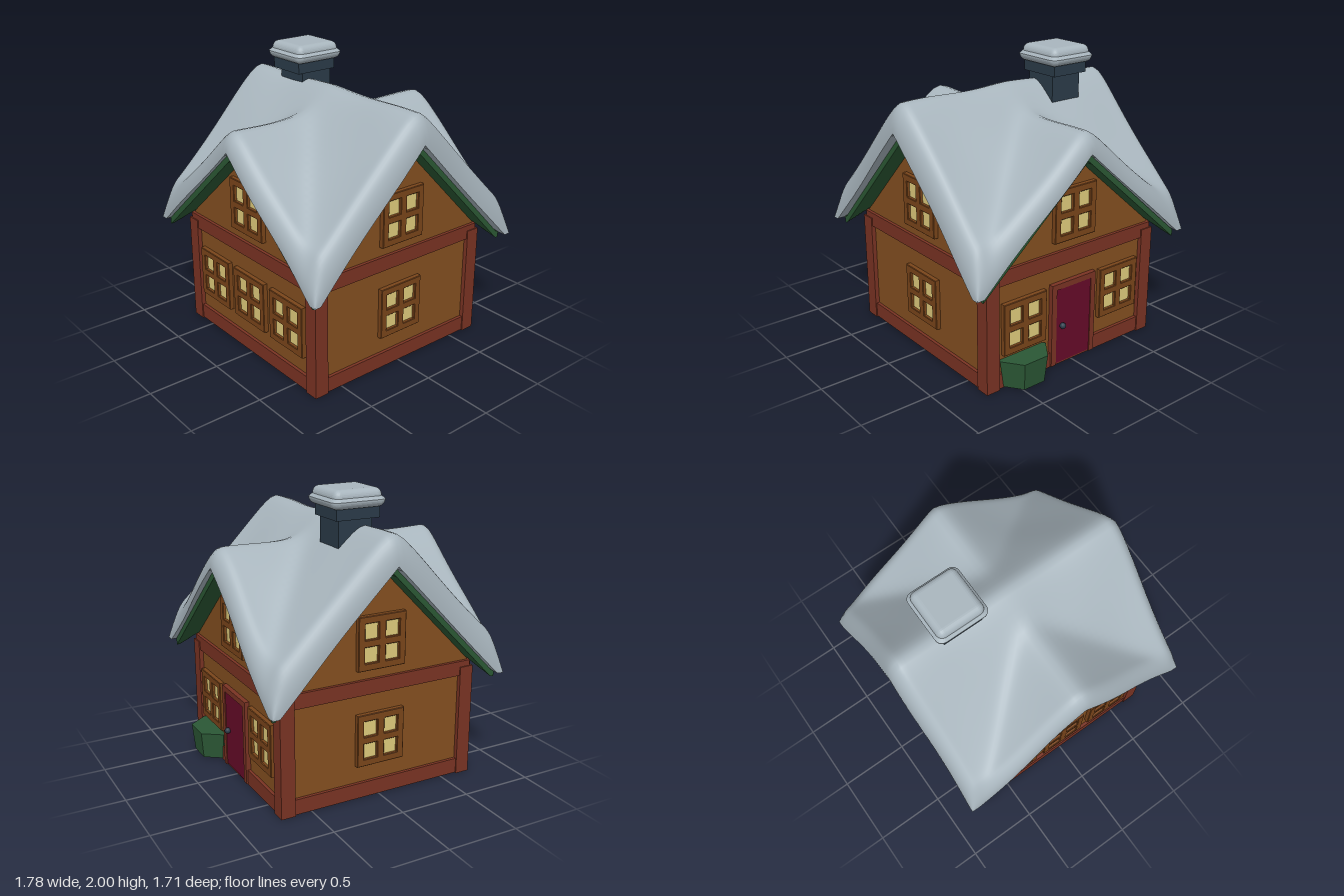
import * as THREE from 'three';
import { RoundedBoxGeometry } from 'three/addons/geometries/RoundedBoxGeometry.js';

const mat = (name, color, side = THREE.FrontSide) => {
  const m = new THREE.MeshStandardMaterial({ color, side });
  m.name = name;
  return m;
};

export function createModel() {
  const snow = mat('snow', 0xa9b6be, THREE.DoubleSide);
  const green = mat('green roof boards', 0x2c5a35, THREE.DoubleSide);
  const wall = mat('brown wall', 0x844f20);
  const frameMat = mat('window wood', 0x7a451a);
  const trim = mat('red timber', 0x7a3323);
  const glow = mat('window glow', 0xe0cc7c);
  const doorMat = mat('crimson door', 0x660a28);
  const slate = mat('slate', 0x2b3b49);
  const leaf = mat('leaf green', 0x2b5735);

  const model = new THREE.Group();
  model.name = 'snowyCottage';

  function add(parent, name, geometry, material, x = 0, y = 0, z = 0) {
    const mesh = new THREE.Mesh(geometry, material);
    mesh.name = name;
    mesh.position.set(x, y, z);
    parent.add(mesh);
    return mesh;
  }
  // box given by its minimum and maximum corners
  function box(parent, name, material, [x0, y0, z0], [x1, y1, z1]) {
    return add(parent, name, new THREE.BoxGeometry(x1 - x0, y1 - y0, z1 - z0), material,
      (x0 + x1) / 2, (y0 + y1) / 2, (z0 + z1) / 2);
  }
  const polygon = (pts) => new THREE.Shape(pts.map(([x, y]) => new THREE.Vector2(x, y)));

  // Walls: two crossing gabled blocks
  const W = 0.69;
  function gabledBlock(name, peak, eave, angle) {
    const shape = polygon([[-W, 0.04], [W, 0.04], [W, eave], [0, peak], [-W, eave]]);
    const geo = new THREE.ExtrudeGeometry(shape, { depth: 2 * W, bevelEnabled: false });
    geo.translate(0, 0, -W);
    add(model, name, geo, wall).rotation.y = angle;
  }
  gabledBlock('frontBackWalls', 1.45, 0.84, 0);
  gabledBlock('sideWalls', 1.55, 0.84, Math.PI / 2);
  box(model, 'floor', trim, [-0.7, 0.005, -0.7], [0.7, 0.06, 0.7]);

  // Corner posts
  for (const sx of [-1, 1]) for (const sz of [-1, 1]) {
    box(model, 'cornerPost', trim, [sx * 0.67 - 0.05, 0, sz * 0.67 - 0.05], [sx * 0.67 + 0.05, 0.78, sz * 0.67 + 0.05]);
  }

  // Four-pane window: pierced frame over a glowing plate
  const frameShape = polygon([[-0.17, -0.175], [0.17, -0.175], [0.17, 0.175], [-0.17, 0.175]]);
  for (const sx of [-1, 1]) for (const sy of [-1, 1]) {
    const a = 0.022 * sx, b = 0.13 * sx, c = 0.02 * sy, d = 0.135 * sy;
    frameShape.holes.push(new THREE.Path([[a, c], [b, c], [b, d], [a, d]].map((p) => new THREE.Vector2(...p))));
  }
  const frameGeo = new THREE.ExtrudeGeometry(frameShape, {
    depth: 0.03, bevelEnabled: true, bevelSize: 0.004, bevelThickness: 0.004, bevelSegments: 1,
  });
  const paneGeo = new THREE.BoxGeometry(0.28, 0.29, 0.008);
  function windowAt(parent, x, y) {
    const win = new THREE.Group();
    win.name = 'window';
    win.position.set(x, y, W);
    add(win, 'windowFrame', frameGeo, frameMat);
    add(win, 'windowPanes', paneGeo, glow, 0, 0, 0.008);
    parent.add(win);
  }

  // Beams and windows of each side, facing +z before rotation
  const sides = [
    ['frontSide', 0, [-0.41, 0, 0.41]],
    ['leftSide', Math.PI / 2, [0]],
    ['backSide', Math.PI, [-0.41, 0.41]],
    ['rightSide', -Math.PI / 2, [0]],
  ];
  const groups = {};
  for (const [name, angle, xs] of sides) {
    const g = groups[name] = new THREE.Group();
    g.name = name;
    g.rotation.y = angle;
    box(g, 'baseBeam', trim, [-0.63, 0.005, 0.62], [0.63, 0.11, 0.712]);
    box(g, 'upperBeam', trim, [-0.7, 0.72, 0.62], [0.7, 0.82, 0.712]);
    for (const x of xs) windowAt(g, x, 0.41);
    windowAt(g, 0, 1.065);
    model.add(g);
  }

  // Back door with frame and knob
  const back = groups.backSide;
  box(back, 'door', doorMat, [-0.15, 0.02, 0.68], [0.15, 0.56, 0.718]);
  for (const s of [-1, 1]) box(back, 'doorPost', trim, [s * 0.17 - 0.02, 0.01, 0.68], [s * 0.17 + 0.02, 0.56, 0.724]);
  box(back, 'doorLintel', trim, [-0.19, 0.56, 0.68], [0.19, 0.6, 0.724]);
  add(back, 'doorKnob', new THREE.SphereGeometry(0.022, 10, 8), slate, -0.1, 0.29, 0.73);

  // Bush against the back wall
  const bushGeo = new THREE.CylinderGeometry(0.19, 0.165, 0.19, 6).toNonIndexed();
  bushGeo.rotateY(Math.PI / 6);
  bushGeo.scale(1, 1, 0.8);
  bushGeo.computeVertexNormals();
  add(model, 'bush', bushGeo, leaf, 0.42, 0.105, -0.71);

  // Roof surfaces: two crossing ridges as a height over the plan
  const under = (x, z) => Math.max(1.58 - 1.02 * Math.abs(z), 1.48 - 0.87 * Math.abs(x), 0.76);
  const round = (v) => Math.sqrt(v * v + 0.0049);
  function top(x, z) {
    const a = 1.84 - 1.05 * round(z), b = 1.67 - 0.9 * round(x);
    const soft = (a + b + Math.sqrt((a - b) ** 2 + 0.006)) / 2 - 0.003;
    return soft + 0.006 * Math.sin(9 * x + 2) * Math.sin(8 * z + 1);
  }
  // 1 inside, falling to 0 at the edge along a quarter circle
  const fall = (v, edge) => {
    const t = Math.min(1, (edge - Math.abs(v)) / 0.1);
    return Math.sqrt(Math.max(0, 1 - (1 - t) ** 2));
  };
  // Sheet over the plan, with rows packed towards the edges
  function sheet(ex, ez, height, flip, wobble) {
    const n = 64, pos = [], idx = [];
    for (let j = 0; j <= n; j++) for (let i = 0; i <= n; i++) {
      const x = ex * Math.sin((i / n - 0.5) * Math.PI), z = ez * Math.sin((j / n - 0.5) * Math.PI);
      pos.push(x * (1 + wobble * Math.sin(7 * z + 1)), height(x, z), z * (1 + wobble * Math.sin(8 * x)));
      if (i < n && j < n) {
        const a = j * (n + 1) + i, b = a + 1, c = a + n + 1, d = c + 1;
        if (flip) idx.push(a, b, c, b, d, c);
        else idx.push(a, c, b, b, c, d);
      }
    }
    const geo = new THREE.BufferGeometry();
    geo.setAttribute('position', new THREE.Float32BufferAttribute(pos, 3));
    geo.setIndex(idx);
    geo.computeVertexNormals();
    return geo;
  }
  const EX = 0.882, EZ = 0.85;
  const snowTop = (x, z) => {
    const u = under(x, z);
    return u + Math.max(0.05, top(x, z) - u) * fall(x, EX) * fall(z, EZ);
  };
  add(model, 'roofSnow', sheet(EX, EZ, snowTop, false, 0.008), snow);
  add(model, 'roofSnowUnderside', sheet(EX, EZ, under, true, 0.008), snow);

  // Green boards below the snow, closed along their edges
  const G = 0.82;
  const boards = (x, z) => {
    const edge = Math.max(Math.abs(x), Math.abs(z)) > G - 0.0001;
    return under(x, z) - (edge ? 0.002 : 0.05);
  };
  add(model, 'roofBoards', sheet(G, G, boards, true, 0), green);

  // Chimney with collar and snow cap
  box(model, 'chimneyShaft', slate, [-0.49, 1.5, -0.19], [-0.25, 1.84, 0.05]);
  box(model, 'chimneyCollar', slate, [-0.52, 1.81, -0.22], [-0.24, 1.89, 0.09]);
  const cap = new RoundedBoxGeometry(0.37, 0.12, 0.385, 4, 0.05);
  const p = cap.attributes.position;
  for (let i = 0; i < p.count; i++) {
    const k = p.getY(i) > 0 ? 0.9 : 1;
    p.setX(i, p.getX(i) * k);
    p.setZ(i, p.getZ(i) * k);
  }
  cap.computeVertexNormals();
  add(model, 'chimneySnow', cap, snow, -0.38, 1.94, -0.07);

  return model;
}
